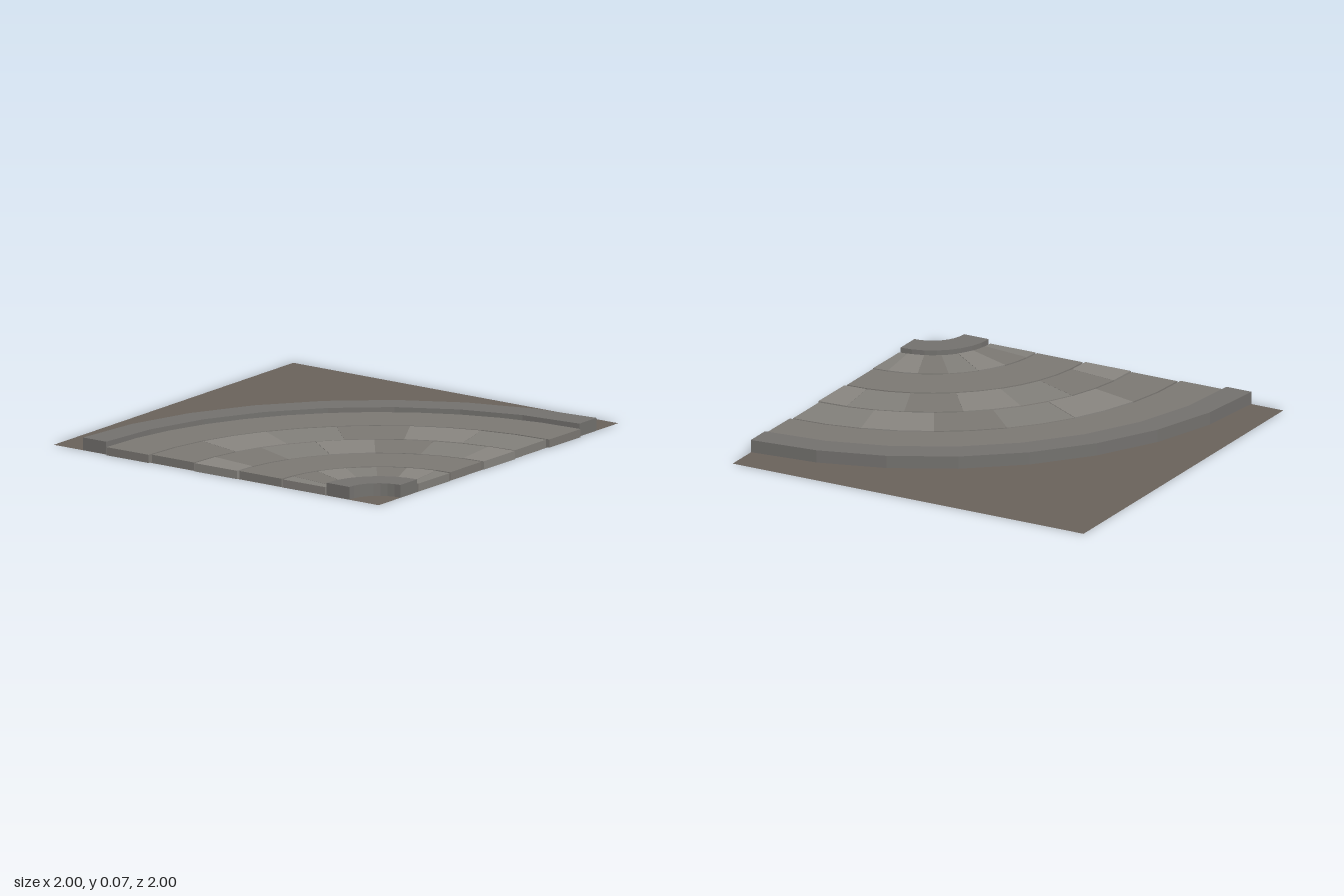
import * as THREE from 'three';

const CORNER = 0.985; // centre of all arcs, in x and z
const rad = THREE.MathUtils.degToRad;

const stone = (color) => new THREE.MeshStandardMaterial({ color, flatShading: true });

// Solid ring sector between two radii and two angles (degrees), standing on y = 0
function sector(r0, r1, a0, a1, segments, height) {
  const points = [];
  const add = (r, t) => {
    const a = rad(a0 + (a1 - a0) * t);
    points.push(new THREE.Vector2(r * Math.cos(a), r * Math.sin(a)));
  };
  for (let i = 0; i <= segments; i++) add(r1, i / segments);
  for (let i = segments; i >= 0; i--) add(r0, i / segments);
  const geometry = new THREE.ExtrudeGeometry(new THREE.Shape(points), { depth: height, bevelEnabled: false });
  geometry.rotateX(-Math.PI / 2);
  geometry.translate(CORNER, 0.001, CORNER);
  return geometry;
}

export function createModel() {
  const model = new THREE.Group();
  const add = (name, geometry, material, parent = model) => {
    const mesh = new THREE.Mesh(geometry, material);
    mesh.name = name;
    parent.add(mesh);
  };

  // Square ground sheet
  const ground = new THREE.PlaneGeometry(1.985, 1.985).rotateX(-Math.PI / 2).translate(-0.0075, 0, -0.0075);
  add('ground', ground, new THREE.MeshStandardMaterial({ color: 0x6b635c, side: THREE.DoubleSide }));

  // Raised kerbs on the outer and inner edges
  const kerbStone = stone(0x74726f);
  add('outerKerb', sector(1.665, 1.805, 90, 180, 8, 0.064), kerbStone);
  add('innerKerb', sector(0.18, 0.318, 90, 180, 8, 0.064), kerbStone);

  // Five rings of 15 degree pavers, every other ring shifted by half a paver
  const shades = [0x84817c, 0x7d7a75, 0x8a8782].map(stone);
  for (let ring = 0; ring < 5; ring++) {
    const course = new THREE.Group();
    course.name = 'paverRing' + (ring + 1);
    const inner = 0.325 + ring * 0.268;
    const shift = ring % 2 === 0 ? 7.5 : 0;
    for (let k = 0; k < 7; k++) {
      const start = Math.max(90 + k * 15 - shift, 89.5);
      const end = Math.min(105 + k * 15 - shift, 180.5);
      if (end - start < 1) continue;
      const segments = Math.round((end - start) / 7.5);
      const pick = (k * 2 + ring * 4 + k * ring) % 3;
      const height = 0.041 + pick * 0.0006;
      add('paver', sector(inner, inner + 0.256, start, end, segments, height), shades[pick], course);
    }
    model.add(course);
  }
  return model;
}
